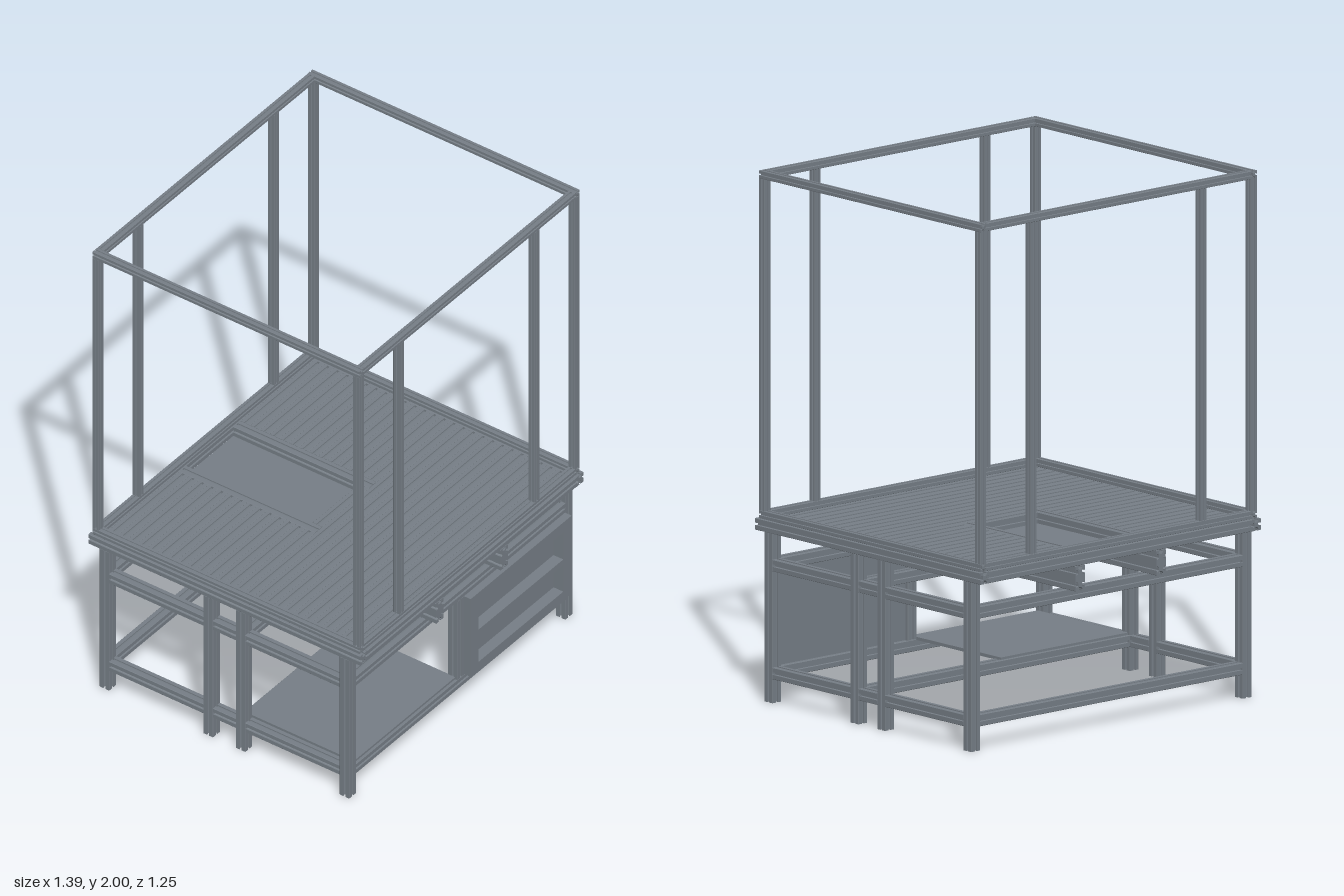
import * as THREE from 'three';

const material = new THREE.MeshStandardMaterial({ color: 0x757d85 });
const S = 0.0445; // heavy profile size
const T = 0.03;   // light profile size

// Outline of a slotted profile with bevelled corners, one cell wide and `rows` cells high
function slottedShape(s, rows) {
  const w = s / 2, h = (s * rows) / 2, bevel = 0.04, pts = [];
  const slot = [[-0.11, 0], [-0.11, 0.1], [-0.24, 0.1], [-0.12, 0.3], [0.12, 0.3], [0.24, 0.1], [0.11, 0.1], [0.11, 0]];
  // walk along one side; the interior lies to the left of the direction
  const side = (x, y, dx, dy, cells) => {
    const point = (t, d) => pts.push(new THREE.Vector2(x + (dx * t - dy * d) * s, y + (dy * t + dx * d) * s));
    point(bevel, 0);
    for (let c = 0; c < cells; c++) {
      for (const [u, d] of slot) point(c + 0.5 + u, d);
    }
    point(cells - bevel, 0);
  };
  side(-w, -h, 1, 0, 1);
  side(w, -h, 0, 1, rows);
  side(w, h, -1, 0, 1);
  side(-w, h, 0, -1, rows);
  return new THREE.Shape(pts);
}

export function createModel() {
  const model = new THREE.Group();
  model.name = 'workbench';

  const add = (name, geometry, x, y, z) => {
    const mesh = new THREE.Mesh(geometry, material);
    mesh.name = name;
    mesh.position.set(x, y, z);
    model.add(mesh);
  };
  const box = (name, w, h, d, x, y, z) => add(name, new THREE.BoxGeometry(w, h, d), x, y, z);

  // Slotted bar along an axis, reaching from a to b; p and q are the other two coordinates in x, y, z order
  const bar = (name, axis, s, a, b, p, q, rows = 1) => {
    const g = new THREE.ExtrudeGeometry(slottedShape(s, rows), { depth: b - a, bevelEnabled: false });
    g.translate(0, 0, (a - b) / 2);
    const m = (a + b) / 2;
    if (axis === 'x') add(name, g.rotateY(Math.PI / 2), m, p, q);
    else if (axis === 'y') add(name, g.rotateX(-Math.PI / 2), p, m, q);
    else add(name, g, p, q, m);
  };

  const legX = 0.672, legZ = 0.55, midZ = 0.074;
  const lowY = 0.113, highY = 0.521, topY = 0.663, edgeZ = 0.623;

  // Base: eight legs, side rails and short links between the two halves
  for (const sx of [-1, 1]) {
    const x = sx * legX;
    for (const z of [legZ, midZ, -midZ, -legZ]) bar('leg', 'y', S, 0, 0.641, x, z);
    for (const y of [lowY, highY]) {
      bar('frontSideRail', 'z', S, midZ + S / 2, legZ - S / 2, x, y);
      bar('backSideRail', 'z', S, -legZ + S / 2, -midZ - S / 2, x, y);
      bar('linkRail', 'z', S, -midZ + S / 2, midZ - S / 2, x, y);
    }
  }

  // Long rails across the base
  for (const y of [lowY, highY]) {
    for (const z of [legZ, midZ, -legZ]) bar('crossRail', 'x', S, -0.65, 0.65, y, z);
  }

  // Shelf, divider post and drawer front with two recessed panels
  box('shelf', 0.63, 0.012, 0.5, -0.335, 0.138, 0.312);
  bar('dividerPost', 'y', S, lowY + S / 2, highY - S / 2, 0, legZ);
  const front = new THREE.Shape([
    new THREE.Vector2(0.022, 0.136), new THREE.Vector2(0.65, 0.136),
    new THREE.Vector2(0.65, 0.498), new THREE.Vector2(0.022, 0.498)]);
  for (const [y0, y1] of [[0.176, 0.3], [0.326, 0.451]]) {
    front.holes.push(new THREE.Path([
      new THREE.Vector2(0.07, y0), new THREE.Vector2(0.07, y1),
      new THREE.Vector2(0.598, y1), new THREE.Vector2(0.598, y0)]));
  }
  add('drawerFront', new THREE.ExtrudeGeometry(front, { depth: 0.045, bevelEnabled: false }), 0, 0, 0.556);
  box('drawerBacking', 0.628, 0.362, 0.014, 0.336, 0.317, 0.549);

  // Tabletop: side rails, deep bearers underneath and slats around the opening
  for (const sx of [-1, 1]) {
    bar('tableSideRail', 'z', S, -edgeZ, edgeZ, sx * legX, topY);
    bar('bearer', 'z', S * 1.06, -edgeZ, edgeZ, sx * 0.2, 0.592, 2);
    bar('openingRail', 'z', S, -edgeZ + S, -edgeZ + 15 * S, sx * 0.168, topY);
  }
  for (let i = 0; i < 28; i++) {
    const z = -edgeZ + (i + 0.5) * S;
    if (i >= 1 && i <= 14) {
      bar('slat', 'x', S, -0.65, -0.19, topY, z);
      bar('slat', 'x', S, 0.19, 0.65, topY, z);
    } else bar('slat', 'x', S, -0.65, 0.65, topY, z);
  }
  bar('openingEnd', 'x', S, -0.146, 0.146, topY, -edgeZ + 14.5 * S);
  box('openingPanel', 0.292, 0.01, 0.58, 0, 0.638, -0.288);

  // Upper cage: lower and upper rings, corner and intermediate posts
  const cageX = 0.67, cageZ = 0.597;
  for (const y of [0.7, 2 - T / 2]) {
    for (const s of [-1, 1]) {
      bar('cageSideBar', 'z', T, -cageZ - T / 2, cageZ + T / 2, s * cageX, y);
      bar('cageCrossBar', 'x', T, -cageX + T / 2, cageX - T / 2, y, s * cageZ);
    }
  }
  for (const x of [-cageX, -0.42, 0.42, cageX]) {
    for (const z of [-cageZ, cageZ]) bar('cagePost', 'y', T, 0.715, 2 - T, x, z);
  }

  return model;
}
